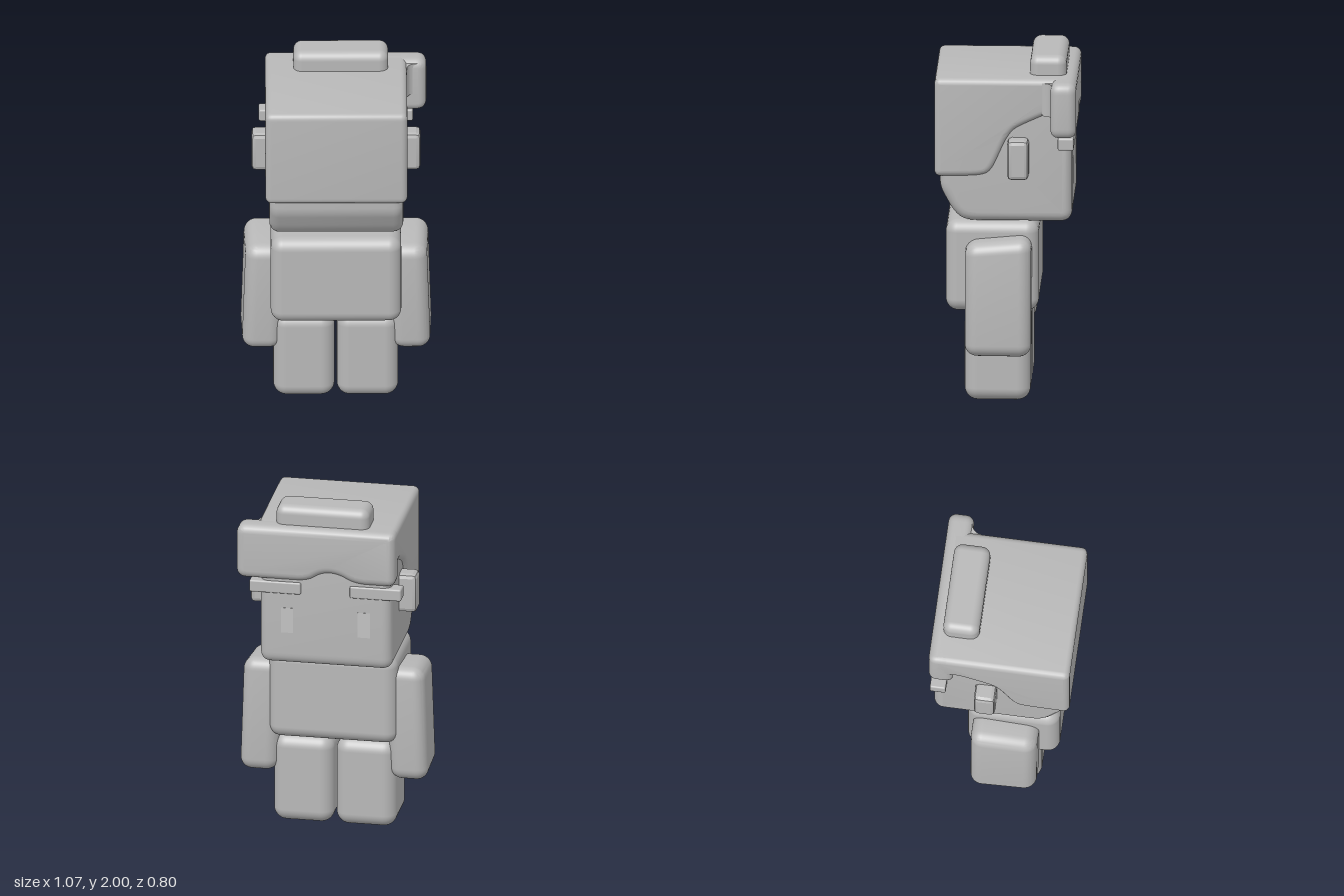
import * as THREE from 'three';
import { toCreasedNormals } from 'three/addons/utils/BufferGeometryUtils.js';
import { RoundedBoxGeometry } from 'three/addons/geometries/RoundedBoxGeometry.js';

const clay = new THREE.MeshStandardMaterial({ color: 0xb8b8b8 });
clay.name = 'clay grey';
const paleClay = new THREE.MeshStandardMaterial({ color: 0xc2c2c2 });
paleClay.name = 'pale clay grey';

function add(parent, name, geometry, material = clay) {
  const mesh = new THREE.Mesh(geometry, material);
  mesh.name = name;
  parent.add(mesh);
  return mesh;
}

// Rounded box given by its limits on each axis
function softBox([x0, x1], [y0, y1], [z0, z1], radius, segments = 5) {
  const g = new RoundedBoxGeometry(x1 - x0, y1 - y0, z1 - z0, segments, radius);
  return g.translate((x0 + x1) / 2, (y0 + y1) / 2, (z0 + z1) / 2);
}

// Closed outline whose corners [x, y, radius] are rounded
function roundedShape(corners) {
  const shape = new THREE.Shape();
  const n = corners.length;
  const pts = corners.map(([x, y]) => new THREE.Vector2(x, y));
  const toward = (a, b, r) =>
    a.clone().add(b.clone().sub(a).setLength(Math.min(r, a.distanceTo(b) * 0.48)));
  for (let i = 0; i < n; i++) {
    const p = pts[i], r = corners[i][2];
    const a = toward(p, pts[(i + n - 1) % n], r);
    const b = toward(p, pts[(i + 1) % n], r);
    if (i === 0) shape.moveTo(a.x, a.y);
    else shape.lineTo(a.x, a.y);
    shape.quadraticCurveTo(p.x, p.y, b.x, b.y);
  }
  shape.closePath();
  return shape;
}

// Centred slab with softened edges; the outline is kept at full size
function softSlab(corners, thickness, bevel) {
  const g = new THREE.ExtrudeGeometry(roundedShape(corners), {
    depth: thickness - 2 * bevel, bevelEnabled: true, bevelSize: bevel,
    bevelThickness: bevel, bevelOffset: -bevel, bevelSegments: 5, curveSegments: 8,
  });
  g.translate(0, 0, -thickness / 2 + bevel);
  return toCreasedNormals(g, 0.7);
}

// Slab whose outline is a side profile, given as [-z, y, radius]
const sideSlab = (corners, width, bevel) =>
  softSlab(corners, width, bevel).rotateY(Math.PI / 2);

function armGeometry(side) {
  const g = softBox([0.31, 0.53], [0.3, 0.97], [-0.15, 0.225], 0.07);
  const p = g.attributes.position;
  for (let i = 0; i < p.count; i++) {
    const t = (p.getY(i) - 0.3) / 0.67;
    const s = (p.getZ(i) + 0.15) / 0.375;
    // lean inward at the top, slope the shoulder down at +z
    p.setX(i, side * (p.getX(i) + 0.012 - 0.022 * t - 0.012 * s));
    p.setY(i, p.getY(i) + t * (0.012 - 0.035 * s));
  }
  if (side < 0) {
    // restore the winding of the mirrored faces
    for (let i = 0; i < p.count; i += 3) {
      const a = new THREE.Vector3().fromBufferAttribute(p, i + 1);
      const b = new THREE.Vector3().fromBufferAttribute(p, i + 2);
      p.setXYZ(i + 1, b.x, b.y, b.z);
      p.setXYZ(i + 2, a.x, a.y, a.z);
    }
  }
  return toCreasedNormals(g, 0.7);
}

export function createModel() {
  const model = new THREE.Group();
  model.name = 'blockFigure';

  // Body
  add(model, 'torso', softBox([-0.37, 0.366], [0.525, 1.055], [-0.187, 0.337], 0.07));
  for (const side of [1, -1]) {
    const label = side > 0 ? 'left' : 'right';
    const legX = side > 0 ? [0.003, 0.349] : [-0.355, -0.01];
    add(model, label + 'Leg', softBox(legX, [0, 0.525], [-0.14, 0.232], 0.075));
    add(model, label + 'Arm', armGeometry(side));
  }

  // Head with a sloped lower edge on the +z side
  const head = new THREE.Group();
  head.name = 'headGroup';
  model.add(head);
  add(head, 'head', sideSlab([
    [-0.23, 1.055, 0.07], [0.377, 1.055, 0.07], [0.377, 1.8, 0.05],
    [-0.36, 1.8, 0.05], [-0.37, 1.25, 0.04], [-0.295, 1.11, 0.05],
  ], 0.755, 0.055));

  // Hair cap, sweeping up on both sides toward the fringe
  add(head, 'hairCap', sideSlab([
    [-0.4, 1.32, 0.04], [-0.13, 1.325, 0.09], [-0.075, 1.36, 0.06],
    [0.025, 1.585, 0.09], [0.12, 1.635, 0.06], [0.245, 1.69, 0.05],
    [0.36, 1.66, 0.02], [0.385, 1.89, 0.04], [-0.4, 1.89, 0.04],
  ], 0.8, 0.035));

  // Fringe overhanging on the left, with a shallow notch
  add(head, 'fringe', softSlab([
    [-0.4, 1.57, 0.05], [-0.17, 1.57, 0.07], [-0.07, 1.625, 0.06],
    [0.02, 1.625, 0.06], [0.1, 1.57, 0.07], [0.51, 1.57, 0.06],
    [0.51, 1.89, 0.06], [-0.4, 1.89, 0.04],
  ], 0.145, 0.045).translate(0, 0, -0.331));

  // Concave fillet between the overhang and the cap
  const fillet = new THREE.Shape();
  fillet.moveTo(0.38, 0.31);
  fillet.lineTo(0.38, 0.21);
  fillet.lineTo(0.4, 0.21);
  fillet.quadraticCurveTo(0.405, 0.26, 0.46, 0.265);
  fillet.lineTo(0.46, 0.31);
  fillet.closePath();
  const filletGeometry = new THREE.ExtrudeGeometry(fillet, { depth: 0.19, bevelEnabled: false });
  filletGeometry.rotateX(-Math.PI / 2).translate(0, 1.68, 0);
  add(head, 'fringeFillet', toCreasedNormals(filletGeometry, 0.7));

  add(head, 'topTuft', softBox([-0.24, 0.294], [1.84, 2], [-0.342, -0.136], 0.05));

  // Ears, brows and eyes, mirrored
  for (const side of [1, -1]) {
    const label = side > 0 ? 'left' : 'right';
    const span = (a, b) => (side > 0 ? [a, b] : [-b, -a]);
    add(head, label + 'Ear', toCreasedNormals(
      softBox(span(0.34, 0.477), [1.32, 1.55], [-0.134, -0.014], 0.025, 1), 0.3));
    add(head, label + 'Brow', softBox(span(0.14, 0.435), [1.487, 1.558], [-0.388, -0.298], 0.01, 2));
    const eye = new THREE.BoxGeometry(0.07, 0.15, 0.006);
    add(head, label + 'Eye', eye.translate(side * 0.22, 1.325, -0.376), paleClay);
  }

  return model;
}
